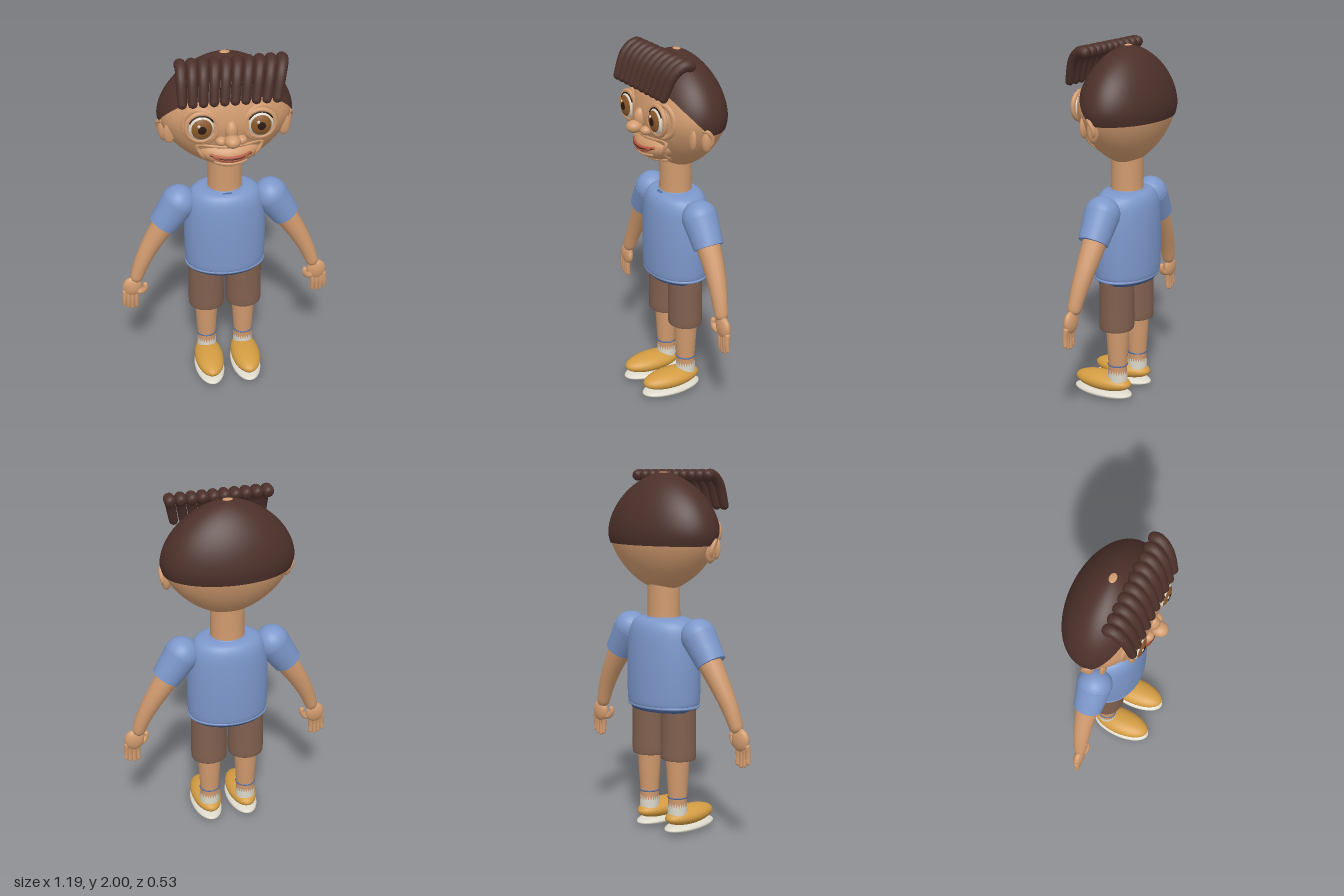
import * as THREE from 'three';
import { mergeVertices } from 'three/addons/utils/BufferGeometryUtils.js';
import { ParametricGeometry } from 'three/addons/geometries/ParametricGeometry.js';

const paint = (name, color) => {
  const m = new THREE.MeshStandardMaterial({ color });
  m.name = name;
  return m;
};
const V = (x, y, z) => new THREE.Vector3(x, y, z);
const CZ = -0.04; // body axis in z

// Weld seams and recompute smooth normals
function smooth(geo) {
  geo.deleteAttribute('uv');
  geo.deleteAttribute('normal');
  const g = mergeVertices(geo, 1e-5);
  g.computeVertexNormals();
  return g;
}

// Head outline: relative radius at each height
function headRadius(y) {
  const t = y > 1.66 ? (y - 1.66) / 0.325 : (1.66 - y) / 0.31;
  return Math.pow(Math.max(0, 1 - Math.pow(t, y > 1.66 ? 1.8 : 1.6)), 0.6);
}
const headPoint = (a, y, grow, out) => {
  const f = headRadius(y) * grow;
  out.set(0.35 * f * Math.sin(a), y, CZ + 0.222 * f * Math.cos(a));
};

// Front surface of the head and muzzle at (x, y)
function faceZ(x, y) {
  const f = headRadius(y);
  const head = CZ + 0.222 * Math.sqrt(Math.max(0, f * f - (x / 0.35) ** 2));
  const v = (y - 1.485) / 0.085, u = x / (0.17 * (1 + 0.3 * v));
  return Math.max(head, 0.05 + 0.135 * Math.sqrt(Math.max(0, 1 - u * u - v * v)));
}

export function createModel() {
  const root = new THREE.Group();
  root.name = 'cartoonBoy';
  const skin = paint('skin', 0xd09a6e), hair = paint('hair', 0x4c302a);
  const shirt = paint('shirt', 0x7c97ca), trim = paint('shirtTrim', 0x4b689f);
  const shorts = paint('shorts', 0x80604f), shoe = paint('shoe', 0xd39c42);
  const white = paint('offWhite', 0xdcd8ca), iris = paint('iris', 0x8c5a2c);
  const lips = paint('lips', 0xb5583f), dark = paint('dark', 0x2c1a14);
  white.side = THREE.DoubleSide;

  const add = (name, geo, mat, x = 0, y = 0, z = 0) => {
    const m = new THREE.Mesh(geo, mat);
    m.name = name;
    m.position.set(x, y, z);
    root.add(m);
    return m;
  };
  const ball = (name, mat, x, y, z, rx, ry, rz) =>
    add(name, new THREE.SphereGeometry(1, 32, 20).scale(rx, ry, rz), mat, x, y, z);
  const ring = (name, mat, x, y, z, rx, rz, tube) =>
    add(name, new THREE.TorusGeometry(rx, tube, 8, 48).rotateX(Math.PI / 2).scale(1, 1, rz / rx), mat, x, y, z);
  const lathe = (name, mat, pts, zScale, x, z, round = true) => {
    let p = pts.map(([r, y]) => new THREE.Vector2(r, y));
    if (round) p = new THREE.SplineCurve(p).getPoints(40);
    add(name, new THREE.LatheGeometry(p, 48).scale(1, 1, zScale), mat, x, 0, z);
  };
  // Round-ended tube whose radius runs from r0 to r1
  const limb = (name, mat, pts, r0, r1, closed = false) => {
    const curve = new THREE.CatmullRomCurve3(pts, closed), n = 40, k = 14, len = curve.getLength();
    const geo = new THREE.TubeGeometry(curve, n, 1, k, closed);
    const pos = geo.attributes.position, v = V();
    for (let i = 0; i <= n; i++) {
      const t = i / n, c = curve.getPointAt(t);
      let r = r0 + (r1 - r0) * t;
      const d = Math.min(t, 1 - t) * len;
      if (!closed && d < r) r *= Math.sqrt(1 - (1 - d / r) ** 2);
      for (let j = 0; j <= k; j++) {
        const id = i * (k + 1) + j;
        v.fromBufferAttribute(pos, id).sub(c).multiplyScalar(r).add(c);
        pos.setXYZ(id, v.x, v.y, v.z);
      }
    }
    return add(name, smooth(geo), mat);
  };

  // Head and hair cap
  add('head', smooth(new ParametricGeometry((u, v, p) =>
    headPoint(u * Math.PI * 2, 1.35 + 0.6349 * (1 - Math.cos(Math.PI * v)) / 2, 1, p), 56, 40)), skin);
  add('hairCap', smooth(new ParametricGeometry((u, v, p) => {
    const a = u * Math.PI * 2, z = CZ + 0.213 * Math.cos(a);
    const low = 1.605 + 0.19 * THREE.MathUtils.clamp((z + 0.03) / 0.16, 0, 1);
    headPoint(a, low + (1.985 - low) * Math.sin(v * Math.PI / 2), 1.02, p);
  }, 72, 30)), hair);
  ball('crownSpot', skin, 0, 1.983, CZ, 0.027, 0.005, 0.019);

  // Fringe of ten curled tufts
  for (let i = 0; i < 10; i++) {
    const x = -0.243 + i * 0.0575, lean = -0.005 - i * 0.0045;
    limb('fringeTuft', hair, [V(x, 1.955, 0.02), V(x + 0.003, 1.972, 0.07), V(x + lean * 0.3, 1.93, 0.128),
      V(x + lean, 1.785, 0.182)], 0.032, 0.023);
  }

  // Muzzle, wider at the top, with its raised border and mouth
  const muzzle = new THREE.SphereGeometry(1, 40, 28), mp = muzzle.attributes.position;
  for (let i = 0; i < mp.count; i++) mp.setX(i, mp.getX(i) * (1 + 0.3 * mp.getY(i)));
  muzzle.scale(0.17, 0.085, 0.135).computeVertexNormals();
  add('muzzle', muzzle, skin, 0, 1.485, 0.05);
  const onFace = (pts, lift) => pts.map(([x, y]) => V(x, y, faceZ(x, y) + lift));
  limb('muzzleBorder', skin, onFace([[-0.17, 1.545], [-0.08, 1.545], [0, 1.54], [0.08, 1.545], [0.17, 1.545],
    [0.14, 1.48], [0.1, 1.42], [0, 1.412], [-0.1, 1.42], [-0.14, 1.48]], 0), 0.009, 0.009, true);
  const smile = (y, w, bow) => [-1, -0.5, 0, 0.5, 1].map(t => [t * w, y + bow * t * t]);
  limb('upperLip', lips, onFace(smile(1.49, 0.11, 0.012), 0), 0.008, 0.008);
  limb('lowerLip', lips, onFace(smile(1.475, 0.09, 0.02), 0.001), 0.009, 0.009);
  limb('mouthLine', dark, onFace(smile(1.483, 0.11, 0.018), 0.006), 0.003, 0.003);
  limb('chinFold', skin, onFace(smile(1.45, 0.09, 0.01), 0), 0.008, 0.008);

  // Nose
  ball('noseTip', skin, 0, 1.602, 0.213, 0.042, 0.034, 0.046);
  ball('noseBridge', skin, 0, 1.645, 0.175, 0.034, 0.055, 0.038);

  // Neck, shirt body and hem
  lathe('neck', skin, [[0.095, 1.15], [0.092, 1.25], [0.092, 1.4]], 0.93, 0, -0.035);
  lathe('shirtBody', shirt, [[0.216, 0.73], [0.224, 0.76], [0.227, 0.9], [0.222, 1.04], [0.208, 1.14],
    [0.178, 1.19], [0.13, 1.206], [0.07, 1.207]], 0.745, 0, -0.037);
  lathe('shirtUnderside', trim, [[0, 0.703], [0.205, 0.703], [0.214, 0.735]], 0.72, 0, -0.037, false);
  ring('shirtHem', shirt, 0, 0.727, -0.037, 0.218, 0.158, 0.008);
  ring('collar', shirt, 0, 1.205, -0.035, 0.094, 0.087, 0.007);
  ball('collarNotch', trim, 0, 1.2, 0.06, 0.036, 0.008, 0.012);

  for (const s of [1, -1]) {
    const P = (x, y, z) => V(s * x, y, z);

    // Eye: ball, lids, iris, pupil and glint
    const ex = s * 0.152, ey = 1.668, ez = 0.155;
    const cap = (name, mat, angle, grow) => {
      const g = new THREE.SphereGeometry(grow, 32, 10, 0, Math.PI * 2, 0, angle).rotateX(Math.PI / 2);
      add(name, g.scale(0.07, 0.073, 0.043), mat, ex, ey, ez);
    };
    ball('eyeball', white, ex, ey, ez, 0.07, 0.073, 0.043);
    cap('iris', iris, 0.85, 1.02);
    cap('pupil', dark, 0.3, 1.04);
    ball('eyeGlint', white, ex - 0.016, ey + 0.022, ez + 0.041, 0.008, 0.009, 0.004);
    add('eyeRim', new THREE.TorusGeometry(0.076, 0.013, 12, 40), skin, ex, ey, ez + 0.006);
    add('eyeSocket', new THREE.TorusGeometry(0.088, 0.016, 12, 40), skin, ex, ey - 0.004, ez - 0.018)
      .rotation.y = s * 0.3;
    add('upperLash', new THREE.TorusGeometry(0.067, 0.004, 6, 24, 2.2).rotateZ(0.47), dark, ex, ey, ez + 0.018);
    ball('nostril', skin, s * 0.052, 1.588, 0.172, 0.03, 0.025, 0.033);

    // Ear
    ball('ear', skin, s * 0.325, 1.582, -0.027, 0.03, 0.068, 0.032);
    ball('earFront', skin, s * 0.302, 1.59, 0.045, 0.03, 0.06, 0.016);
    limb('earRim', skin, [P(0.325, 1.64, 0.01), P(0.35, 1.63, -0.02), P(0.35, 1.58, -0.045), P(0.325, 1.52, -0.02)], 0.012, 0.01);

    // Sleeve
    const a = P(0.255, 1.122, -0.035), b = P(0.345, 0.988, -0.035);
    ball('shoulder', shirt, a.x, a.y, a.z, 0.096, 0.096, 0.096);
    const sleeve = add('sleeve', new THREE.CylinderGeometry(0.097, 0.081, a.distanceTo(b), 32), shirt);
    sleeve.position.copy(a).add(b).multiplyScalar(0.5);
    sleeve.quaternion.setFromUnitVectors(V(0, 1, 0), a.clone().sub(b).normalize());

    // Arm and hand
    limb('arm', skin, [P(0.28, 1.07, -0.037), P(0.345, 0.975, -0.038), P(0.42, 0.855, -0.033),
      P(0.475, 0.745, -0.024), P(0.517, 0.63, -0.015)], 0.073, 0.034);
    ball('palm', skin, s * 0.532, 0.6, -0.014, 0.055, 0.062, 0.028);
    [[0.575, 0.583, 0.472], [0.556, 0.56, 0.457], [0.535, 0.537, 0.45], [0.513, 0.513, 0.459]].forEach(([x0, x1, y]) =>
      limb('finger', skin, [P(x0, 0.585, -0.014), P((x0 + x1) / 2, 0.52, -0.008), P(x1, y, -0.012)], 0.016, 0.011));
    limb('thumb', skin, [P(0.51, 0.57, -0.01), P(0.48, 0.575, 0), P(0.46, 0.6, 0.004), P(0.462, 0.632, 0.002)], 0.021, 0.013);

    // Shorts leg, bare leg and sock
    const lx = s * 0.108;
    lathe('shortsLeg', shorts, [[0.06, 0.428], [0.09, 0.43], [0.101, 0.445], [0.101, 0.55], [0.1, 0.74]], 0.93, lx, -0.035);
    lathe('leg', skin, [[0.052, 0.1], [0.053, 0.2], [0.06, 0.32], [0.067, 0.45]], 0.98, lx, CZ);
    const sock = new THREE.CylinderGeometry(0.055, 0.055, 0.08, 48, 1, true), sp = sock.attributes.position;
    for (let i = 0; i < sp.count; i++) if (sp.getY(i) > 0 && i % 2) sp.setY(i, 0.012);
    add('sock', sock, white, lx, 0.145, CZ);
    ring('sockBand', trim, lx, 0.212, CZ, 0.054, 0.053, 0.004);

    // Shoe
    ball('shoeUpper', shoe, lx, 0.093, 0.056, 0.083, 0.052, 0.176);
    ball('shoeSole', white, lx, 0.032, 0.056, 0.086, 0.028, 0.182);
  }
  // Hip block joining the shorts legs
  ball('shortsSeat', shorts, 0, 0.73, -0.035, 0.19, 0.05, 0.09);
  return root;
}
